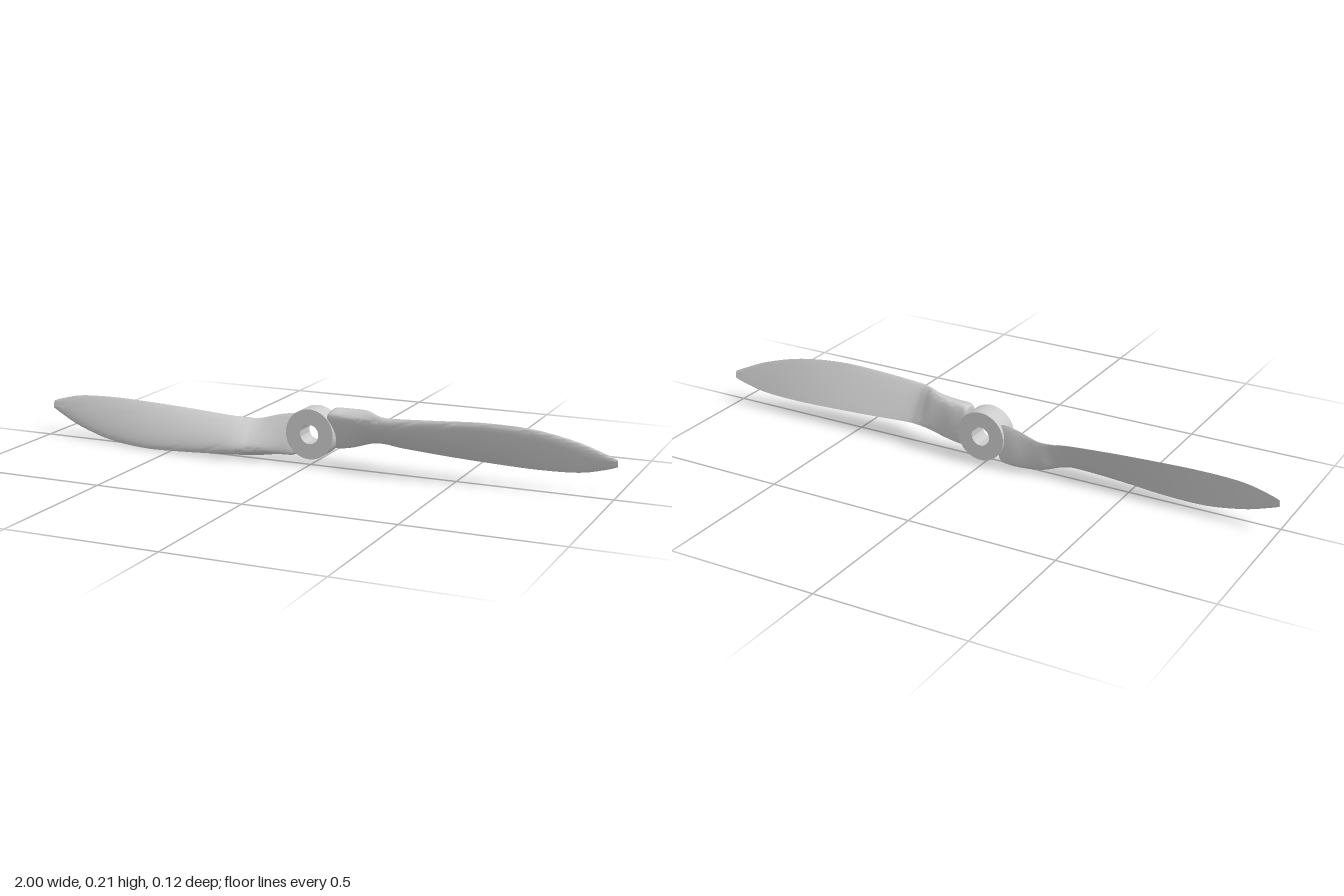
import * as THREE from 'three';
import { toCreasedNormals } from 'three/addons/utils/BufferGeometryUtils.js';

const AXIS_Y = 0.103;

// Blade stations: x, leading edge y z, trailing edge y z,
// front bulge, back bulge, nose sharpness
const STATIONS = [
  [0.06, 0.178, -0.02, 0.065, -0.045, 0.03, 0.022, 0.18],
  [0.075, 0.186, -0.018, 0.052, -0.045, 0.034, 0.027, 0.15],
  [0.13, 0.187, -0.01, 0.06, -0.046, 0.033, 0.034, 0.17],
  [0.2, 0.189, 0.014, 0.08, -0.05, 0.032, 0.03, 0.25],
  [0.25, 0.19, 0.038, 0.083, -0.044, 0.03, 0.014, 0.35],
  [0.3, 0.192, 0.046, 0.079, -0.035, 0.026, 0.005, 0.4],
  [0.45, 0.2, 0.046, 0.069, -0.033, 0.02, 0.002, 0.5],
  [0.6, 0.206, 0.036, 0.062, -0.033, 0.016, 0.001, 0.5],
  [0.75, 0.196, 0.015, 0.058, -0.033, 0.012, 0.001, 0.5],
  [0.88, 0.166, -0.006, 0.063, -0.033, 0.009, 0.001, 0.5],
  [0.96, 0.135, -0.022, 0.08, -0.034, 0.006, 0.001, 0.5],
  [1.0, 0.117, -0.03, 0.093, -0.035, 0.003, 0.001, 0.5],
];

// Smooth Catmull-Rom blend between stations
function stationAt(u) {
  const last = STATIONS.length - 1;
  const i = Math.min(Math.floor(u), last - 1);
  const t = u - i;
  const at = (k) => STATIONS[Math.max(0, Math.min(last, k))];
  const [p, a, b, n] = [at(i - 1), at(i), at(i + 1), at(i + 2)];
  return a.map((v, c) => {
    const m0 = (b[c] - p[c]) / 2;
    const m1 = (n[c] - v) / 2;
    const d = b[c] - v;
    return v + t * (m0 + t * (3 * d - 2 * m0 - m1 + t * (m0 + m1 - 2 * d)));
  });
}

// Airfoil loop: along the front to the trailing edge, then along the back
function section([x, ly, lz, ty, tz, front, back, nose], half) {
  const dy = ty - ly, dz = tz - lz, len = Math.hypot(dy, dz);
  const ny = dz / len, nz = -dy / len;
  const peak = nose / (nose + 0.8);
  const top = peak ** nose * (1 - peak) ** 0.8;
  const loop = [];
  for (let j = 0; j < half * 2; j++) {
    const s = (1 - Math.cos((j / half) * Math.PI)) / 2;
    const f = (s ** nose * Math.max(0, 1 - s) ** 0.8) / top;
    const off = f * (j <= half ? front : -back);
    loop.push([x, ly + dy * s + ny * off - AXIS_Y, lz + dz * s + nz * off]);
  }
  return loop;
}

function bladeGeometry() {
  const half = 16, ring = half * 2, steps = 6;
  const rows = (STATIONS.length - 1) * steps;
  const pos = [], index = [];
  for (let r = 0; r <= rows; r++) {
    section(stationAt(r / steps), half).forEach((p) => pos.push(...p));
  }
  for (let r = 0; r < rows; r++) {
    for (let j = 0; j < ring; j++) {
      const a = r * ring + j, b = r * ring + ((j + 1) % ring);
      index.push(a, b, a + ring, b, b + ring, a + ring);
    }
  }
  // Root and tip caps
  const tip = rows * ring;
  for (let j = 1; j < ring - 1; j++) {
    index.push(0, j + 1, j, tip, tip + j, tip + j + 1);
  }
  const geo = new THREE.BufferGeometry();
  geo.setAttribute('position', new THREE.Float32BufferAttribute(pos, 3));
  geo.setIndex(index);
  return toCreasedNormals(geo, 0.9);
}

function hubGeometry() {
  const shape = new THREE.Shape().absarc(0, 0, 0.083, 0, Math.PI * 2, false);
  shape.holes.push(new THREE.Path().absarc(0, 0, 0.032, 0, Math.PI * 2, true));
  const geo = new THREE.ExtrudeGeometry(shape, { depth: 0.073, bevelEnabled: false, curveSegments: 48 });
  geo.translate(0, 0, -0.061);
  return toCreasedNormals(geo, 0.6);
}

export function createModel() {
  const group = new THREE.Group();
  group.name = 'propeller';
  const material = new THREE.MeshStandardMaterial({ color: 0xcccccc, side: THREE.DoubleSide });

  const add = (name, geometry, turn = 0) => {
    const mesh = new THREE.Mesh(geometry, material);
    mesh.name = name;
    mesh.position.y = AXIS_Y;
    mesh.rotation.z = turn;
    group.add(mesh);
  };

  add('hub', hubGeometry());
  // Two identical blades, half a turn apart
  const blade = bladeGeometry();
  add('leftBlade', blade);
  add('rightBlade', blade, Math.PI);
  return group;
}
